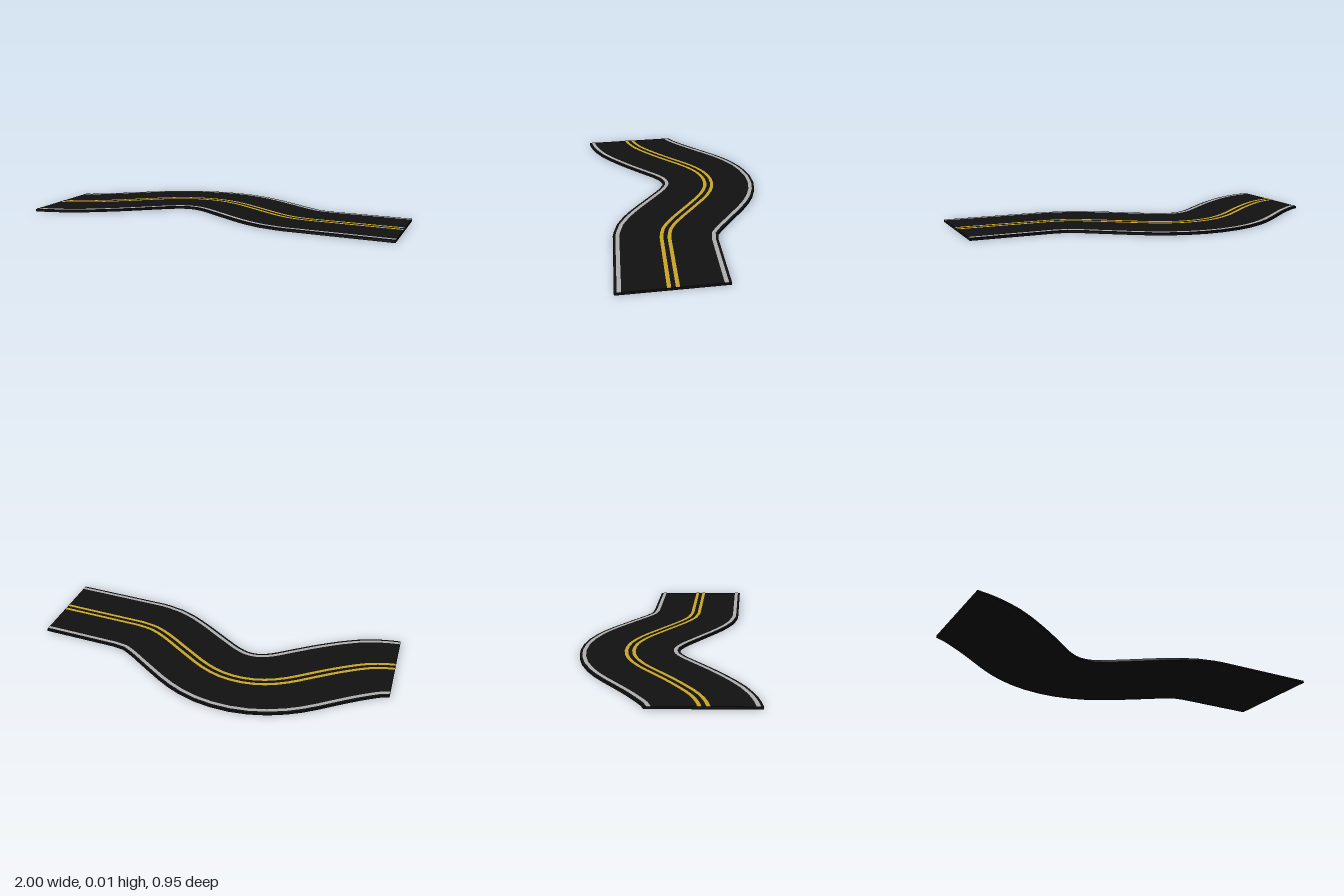
import * as THREE from 'three';

const HALF = 0.266, DECK = 0.0125, PAINT = 0.0138;

// Road centre line (x, z): one bend, then a straight run
const bend = new THREE.CatmullRomCurve3([
  [-1, 0.155], [-0.95, 0.148], [-0.86, 0.12], [-0.76, 0.065], [-0.66, 0], [-0.56, -0.072], [-0.46, -0.142],
  [-0.35, -0.193], [-0.23, -0.211], [-0.11, -0.193], [0, -0.142], [0.1, -0.072], [0.2, 0.003],
  [0.3, 0.077], [0.4, 0.135], [0.5, 0.16],
].map(([x, z]) => new THREE.Vector3(x, 0, z)), false, 'centripetal');

// Stations: centre point plus the sideways direction toward the front
function makeStations() {
  const n = 30, list = [];
  for (let i = 0; i <= n; i++) {
    const p = bend.getPoint(i / n), t = bend.getTangent(i / n);
    const side = i === 0 ? [0, 1] : [-t.z, t.x];
    list.push({ x: p.x, z: p.z, sx: side[0], sz: side[1] });
  }
  list.push({ x: 1, z: 0.207, sx: 0, sz: 1 });
  return list;
}

// Sweeps a closed or open section of [offset, height] points along the stations
function sweep(stations, section, closed) {
  const pos = [], add = (...pts) => pts.forEach((p) => pos.push(...p));
  const at = (s, [o, y]) => [THREE.MathUtils.clamp(s.x + s.sx * o, -1, 1), y, s.z + s.sz * o];
  const sides = closed ? section.length : section.length - 1;
  for (let i = 0; i < stations.length - 1; i++) {
    for (let j = 0; j < sides; j++) {
      const p = section[j], q = section[(j + 1) % section.length];
      const a = at(stations[i], p), b = at(stations[i], q);
      const c = at(stations[i + 1], q), d = at(stations[i + 1], p);
      add(a, b, c, a, c, d);
    }
  }
  if (closed) {
    // End caps of the four-cornered slab
    const [a, b, c, d] = section.map((p) => at(stations[0], p));
    add(a, c, b, a, d, c);
    const [e, f, g, h] = section.map((p) => at(stations[stations.length - 1], p));
    add(e, f, g, e, g, h);
  }
  const geo = new THREE.BufferGeometry();
  geo.setAttribute('position', new THREE.Float32BufferAttribute(pos, 3));
  geo.computeVertexNormals();
  return geo;
}

export function createModel() {
  const road = new THREE.Group();
  road.name = 'road';
  const stations = makeStations();
  const part = (name, geo, color) => {
    const mat = new THREE.MeshStandardMaterial({ color });
    const mesh = new THREE.Mesh(geo, mat);
    mesh.name = name;
    road.add(mesh);
  };

  // Asphalt slab
  part('asphalt', sweep(stations, [[-HALF, DECK], [HALF, DECK], [HALF, 0], [-HALF, 0]], true), 0x111111);

  // Painted strips: edge lines and the double centre line
  const stripe = (name, offset, width, color) =>
    part(name, sweep(stations, [[offset - width / 2, PAINT], [offset + width / 2, PAINT]], false), color);
  for (const [label, s] of [['back', -1], ['front', 1]]) {
    stripe(label + 'EdgeLine', s * 0.243, 0.02, 0xb0b0b0);
    stripe(label + 'CentreLine', s * 0.02, 0.019, 0xc9a62a);
  }
  return road;
}
